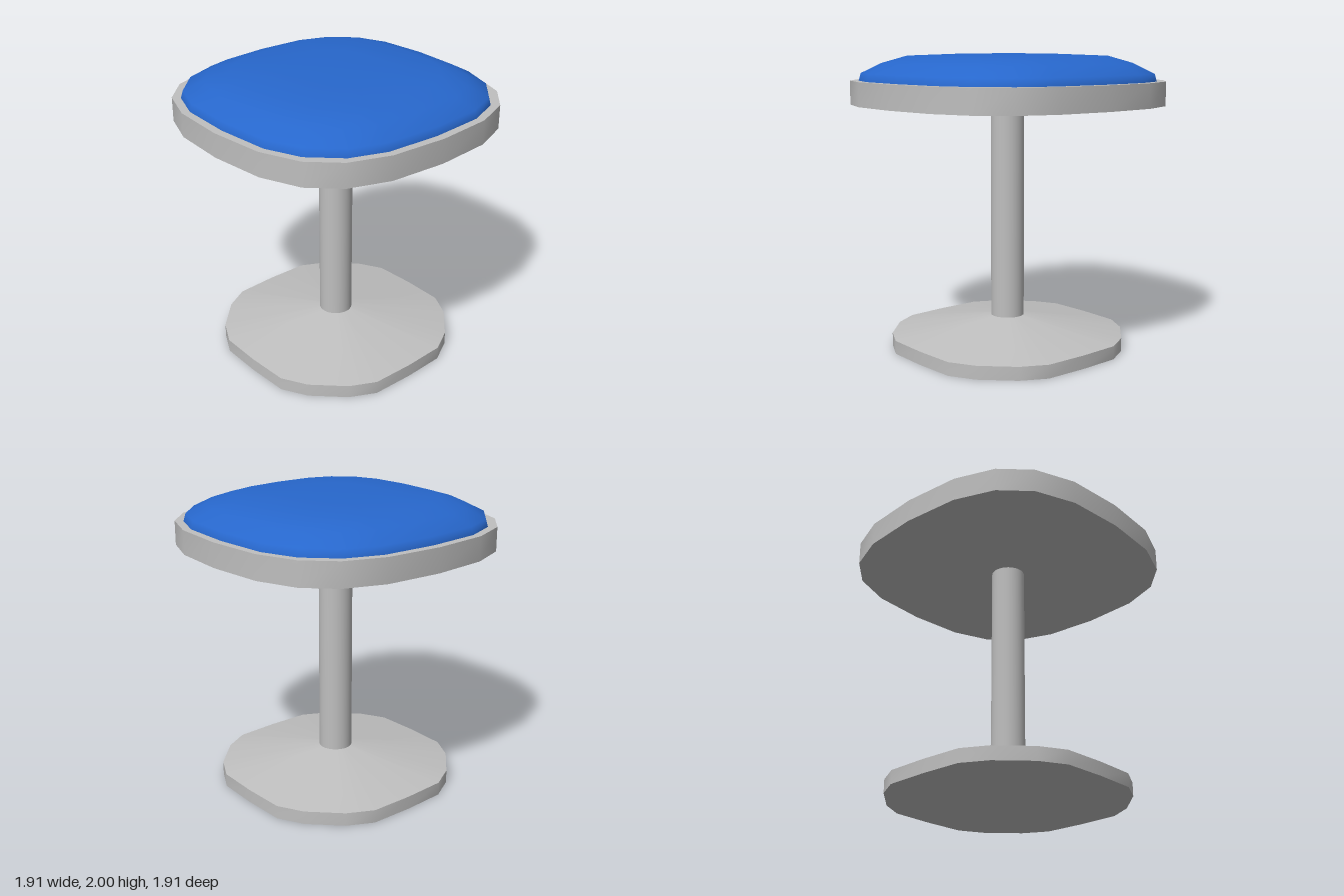
import * as THREE from 'three';

const metal = new THREE.MeshStandardMaterial({ color: 0xbfbfbf });
metal.name = 'grey metal';
const fabric = new THREE.MeshStandardMaterial({ color: 0x2767cc });
fabric.name = 'blue fabric';

// Rounded-square outline from one side's points: middle, side, corner.
// Mirrored over the diagonal, then turned through four quarters.
function outline(mid, side, corner) {
  const quarter = [[mid, 0], side, corner, [corner[1], corner[0]], [side[1], side[0]]];
  const points = [];
  for (let k = 0; k < 4; k++) {
    for (const [x, z] of quarter) {
      points.push([[x, z], [-z, x], [-x, -z], [z, -x]][k]);
    }
  }
  return points;
}

// Same directions as an outline, but all at one radius
const toCircle = (points, r) => points.map(([x, z]) => {
  const s = r / Math.hypot(x, z);
  return [x * s, z * s];
});

const scaled = (points, s) => points.map(([x, z]) => [x * s, z * s]);

// Skin between horizontal rings, listed from bottom to top (or outside to inside)
function loft(rings) {
  const n = rings[0].points.length;
  const position = [];
  const index = [];
  for (const { points, y } of rings) {
    for (const [x, z] of points) position.push(x, y, z);
  }
  for (let r = 0; r < rings.length - 1; r++) {
    for (let i = 0; i < n; i++) {
      const j = (i + 1) % n;
      const a = r * n + i, b = r * n + j, c = a + n, d = b + n;
      index.push(a, c, b);
      if (rings[r + 1].points[0][0] !== 0) index.push(b, c, d);
    }
  }
  const geometry = new THREE.BufferGeometry();
  geometry.setAttribute('position', new THREE.Float32BufferAttribute(position, 3));
  geometry.setIndex(index);
  geometry.computeVertexNormals();
  // Points that meet in the centre share one upward normal
  const last = rings[rings.length - 1];
  if (last.points[0][0] === 0) {
    for (let i = 0; i < n; i++) {
      geometry.attributes.normal.setXYZ((rings.length - 1) * n + i, 0, 1, 0);
    }
  }
  return geometry;
}

// Flat cap facing up or down
function cap(points, y, up) {
  const shape = new THREE.Shape(points.map(([x, z]) => new THREE.Vector2(x, up ? -z : z)));
  const geometry = new THREE.ShapeGeometry(shape);
  geometry.rotateX(up ? -Math.PI / 2 : Math.PI / 2);
  geometry.translate(0, y, 0);
  return geometry;
}

export function createModel() {
  const model = new THREE.Group();
  model.name = 'stool';

  const add = (parent, name, geometry, material) => {
    const mesh = new THREE.Mesh(geometry, material);
    mesh.name = name;
    parent.add(mesh);
    return mesh;
  };
  const group = (name) => {
    const g = new THREE.Group();
    g.name = name;
    model.add(g);
    return g;
  };

  // Foot: low wall, sloped top rising to the pole, flat underside
  const footLine = outline(0.75, [0.74, 0.29], [0.65, 0.46]);
  const foot = group('foot');
  add(foot, 'footWall', loft([{ points: footLine, y: 0 }, { points: footLine, y: 0.09 }]), metal);
  add(foot, 'footSlope', loft([
    { points: footLine, y: 0.09 },
    { points: toCircle(footLine, 0.11), y: 0.21 },
  ]), metal);
  add(foot, 'footUnderside', cap(footLine, 0, false), metal);

  // Pole
  const pole = add(model, 'pole', new THREE.CylinderGeometry(0.113, 0.113, 1.46, 32, 1, true), metal);
  pole.position.y = 0.935;

  // Seat pan with flat top and underside
  const panLine = outline(0.955, [0.925, 0.385], [0.825, 0.65]);
  const pan = group('seatPan');
  add(pan, 'panWall', loft([{ points: panLine, y: 1.66 }, { points: panLine, y: 1.82 }]), metal);
  add(pan, 'panTop', cap(panLine, 1.82, true), metal);
  add(pan, 'panUnderside', cap(panLine, 1.66, false), metal);

  // Domed cushion
  const cushionLine = outline(0.9, [0.875, 0.37], [0.785, 0.605]);
  const profile = [[1, 1.82], [0.985, 1.87], [0.85, 1.935], [0.68, 1.983], [0.36, 1.995], [0, 2]];
  add(model, 'cushion', loft(profile.map(([s, y]) => ({ points: scaled(cushionLine, s), y }))), fabric);

  return model;
}
